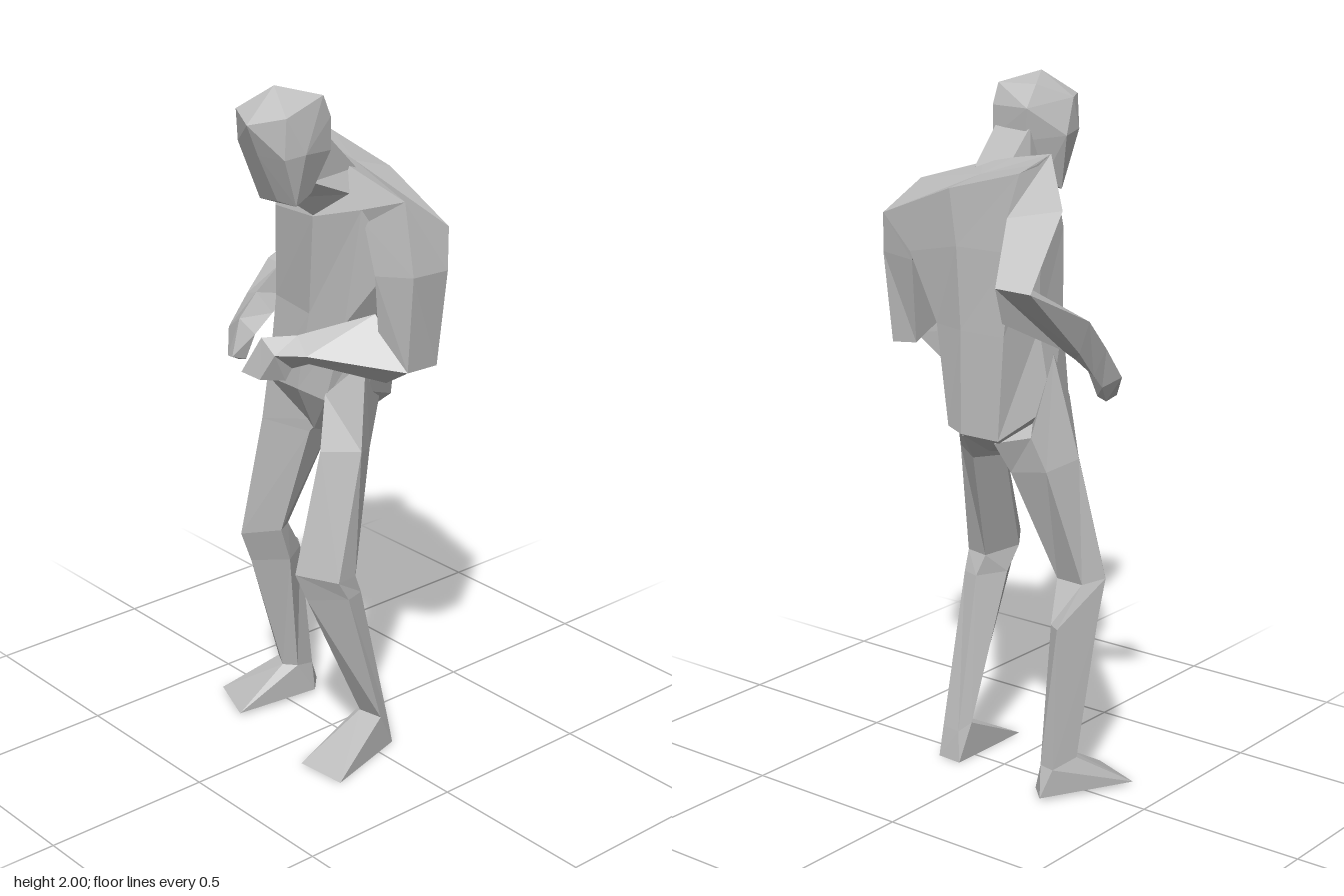
import * as THREE from 'three';
import { ConvexGeometry } from 'three/addons/geometries/ConvexGeometry.js';

const clay = new THREE.MeshStandardMaterial({ color: 0xbcbcbc, flatShading: true });
clay.name = 'clayGrey';

// Closed faceted solid through a list of rings of [x, y, z] points, wound outward.
function loft(rings) {
  const tris = [];
  const n = rings[0].length;
  for (let i = 0; i + 1 < rings.length; i++) {
    for (let j = 0; j < n; j++) {
      const k = (j + 1) % n;
      const a = rings[i][j], b = rings[i][k], c = rings[i + 1][k], d = rings[i + 1][j];
      tris.push([a, b, c], [a, c, d]);
    }
  }
  const middle = (r) => [0, 1, 2].map((c) => r.reduce((s, p) => s + p[c], 0) / n);
  const first = rings[0], last = rings[rings.length - 1];
  const m0 = middle(first), m1 = middle(last);
  for (let j = 0; j < n; j++) {
    const k = (j + 1) % n;
    tris.push([m0, first[k], first[j]], [m1, last[j], last[k]]);
  }
  // The sign of the enclosed volume tells whether the winding must be flipped.
  let volume = 0;
  const v = [0, 1, 2].map(() => new THREE.Vector3());
  for (const t of tris) {
    t.forEach((p, i) => v[i].set(...p));
    volume += v[0].dot(v[1].clone().cross(v[2]));
  }
  if (volume < 0) tris.forEach((t) => t.reverse());
  const g = new THREE.BufferGeometry();
  g.setAttribute('position', new THREE.Float32BufferAttribute(tris.flat(2), 3));
  g.computeVertexNormals();
  return g;
}

export function createModel() {
  const model = new THREE.Group();
  model.name = 'stoopedFigure';
  const add = (name, geometry) => {
    const mesh = new THREE.Mesh(geometry, clay);
    mesh.name = name;
    model.add(mesh);
  };

  // Torso: crotch, hips, waist, chest, shoulders; front right round to right side
  add('torso', loft([
    [[-0.06, 0.98, 0.04], [-0.02, 0.965, 0.05], [0.02, 0.97, 0.04], [0.03, 0.97, 0],
      [0.03, 0.99, -0.08], [-0.02, 0.98, -0.09], [-0.08, 0.99, -0.08], [-0.07, 0.98, 0]],
    [[-0.145, 1.1, 0.11], [-0.02, 1.1, 0.11], [0.1, 1.1, 0.11], [0.155, 1.12, 0.01],
      [0.08, 1.05, -0.15], [0.02, 1.04, -0.168], [-0.11, 1.04, -0.168], [-0.18, 1.12, -0.02]],
    [[-0.14, 1.34, 0.085], [0.02, 1.33, 0.1], [0.15, 1.33, 0.085], [0.175, 1.33, 0],
      [0.14, 1.33, -0.125], [0.03, 1.33, -0.155], [-0.12, 1.33, -0.155], [-0.145, 1.34, -0.03]],
    [[-0.14, 1.6, 0.085], [0.06, 1.62, 0.12], [0.2, 1.66, 0.07], [0.26, 1.52, 0],
      [0.24, 1.52, -0.12], [0.05, 1.56, -0.148], [-0.14, 1.56, -0.14], [-0.15, 1.58, -0.03]],
    [[-0.145, 1.81, 0.02], [0, 1.785, 0.035], [0.115, 1.76, 0.045], [0.32, 1.7, 0.025],
      [0.35, 1.615, -0.105], [0.08, 1.715, -0.14], [-0.15, 1.775, -0.125], [-0.15, 1.79, -0.05]],
  ]));

  // Neck leaning forward
  add('neck', loft([
    [[0.01, 1.75, 0.02], [0.12, 1.75, 0.02], [0.15, 1.69, 0.06], [0.06, 1.62, 0.115], [-0.02, 1.68, 0.09]],
    [[0.01, 1.86, 0.13], [0.13, 1.86, 0.13], [0.125, 1.74, 0.18], [0.06, 1.69, 0.215], [0, 1.72, 0.18]],
  ]));

  // Head: crown, brow, temples, nape and jaw as one faceted hull
  add('head', new ConvexGeometry([
    [0.07, 2, 0.257], [0.025, 1.97, 0.173], [0.14, 1.97, 0.15],
    [-0.01, 1.935, 0.32], [0.057, 1.905, 0.338], [0.147, 1.93, 0.28], [-0.033, 1.93, 0.27],
    [-0.055, 1.83, 0.21], [0.165, 1.83, 0.23], [-0.035, 1.84, 0.295], [0.06, 1.82, 0.305], [0.145, 1.82, 0.285],
    [0.01, 1.91, 0.112], [0.14, 1.91, 0.125], [0.02, 1.82, 0.118], [0.14, 1.82, 0.125],
    [-0.02, 1.675, 0.235], [0.07, 1.69, 0.25], [0.13, 1.685, 0.235],
    [0, 1.71, 0.18], [0.125, 1.71, 0.18],
  ].map((p) => new THREE.Vector3(...p))));

  // Left arm hangs down, forearm folded across the belly
  add('leftUpperArm', loft([
    [[0.2, 1.62, 0.06], [0.32, 1.7, 0.025], [0.35, 1.615, -0.105], [0.2, 1.6, -0.12]],
    [[0.255, 1.49, 0.07], [0.378, 1.51, 0.045], [0.365, 1.5, -0.09], [0.25, 1.49, -0.1]],
    [[0.26, 1.31, 0.06], [0.36, 1.24, 0.045], [0.355, 1.235, -0.065], [0.28, 1.24, -0.05]],
  ]));
  add('leftForearm', loft([
    [[0.235, 1.375, 0.05], [0.36, 1.24, 0.045], [0.27, 1.185, 0.04], [0.19, 1.24, 0.03]],
    [[0.09, 1.31, 0.2], [0.15, 1.27, 0.22], [0.125, 1.235, 0.19], [0.08, 1.25, 0.17]],
  ]));
  add('leftHand', loft([
    [[0.09, 1.31, 0.2], [0.15, 1.27, 0.22], [0.125, 1.235, 0.19], [0.08, 1.25, 0.17]],
    [[0.04, 1.31, 0.285], [0.09, 1.27, 0.28], [0.09, 1.22, 0.22], [0.03, 1.25, 0.22]],
    [[-0.01, 1.205, 0.315], [0.05, 1.195, 0.3], [0.08, 1.185, 0.235], [0, 1.2, 0.25]],
  ]));

  // Right arm swings back to the elbow, forearm reaching forward
  add('rightUpperArm', loft([
    [[-0.145, 1.81, 0.02], [-0.15, 1.775, -0.125], [-0.13, 1.56, -0.12], [-0.135, 1.6, 0.05]],
    [[-0.26, 1.68, -0.08], [-0.175, 1.67, -0.21], [-0.16, 1.55, -0.17], [-0.19, 1.57, -0.05]],
    [[-0.3, 1.49, -0.27], [-0.235, 1.51, -0.335], [-0.2, 1.47, -0.28], [-0.225, 1.5, -0.2]],
  ]));
  add('rightForearm', loft([
    [[-0.3, 1.49, -0.27], [-0.235, 1.51, -0.335], [-0.23, 1.41, -0.3], [-0.21, 1.5, -0.2]],
    [[-0.315, 1.38, -0.03], [-0.29, 1.29, -0.04], [-0.235, 1.29, -0.04], [-0.25, 1.38, -0.02]],
    [[-0.315, 1.29, 0.05], [-0.28, 1.21, 0.04], [-0.225, 1.25, 0.03], [-0.26, 1.31, 0.06]],
  ]));
  add('rightHand', loft([
    [[-0.315, 1.29, 0.05], [-0.28, 1.21, 0.04], [-0.225, 1.25, 0.03], [-0.26, 1.31, 0.06]],
    [[-0.325, 1.2, 0.11], [-0.28, 1.17, 0.08], [-0.205, 1.21, 0.11], [-0.25, 1.25, 0.13]],
    [[-0.28, 1.135, 0.15], [-0.265, 1.12, 0.12], [-0.235, 1.13, 0.12], [-0.25, 1.14, 0.158]],
  ]));

  // Legs: ring order is front, outer, back outer, back inner, inner
  const legs = {
    left: {
      hip: [[0.1, 1.12, 0.112], [0.175, 1.22, 0.03], [0.09, 1.07, -0.1], [0.03, 1.03, -0.15], [0.01, 0.965, 0]],
      thigh: [[0.13, 0.97, 0.155], [0.205, 0.97, 0.07], [0.16, 0.95, 0], [0.065, 0.94, -0.06], [0.035, 0.93, 0.05]],
      knee: [[0.14, 0.63, 0.255], [0.215, 0.6, 0.16], [0.205, 0.6, 0.09], [0.13, 0.6, 0.075], [0.095, 0.61, 0.19]],
      calf: [[0.143, 0.54, 0.215], [0.217, 0.54, 0.125], [0.2, 0.54, 0.065], [0.145, 0.54, 0.05], [0.1, 0.54, 0.14]],
      ankle: [[0.13, 0.11, 0.005], [0.205, 0.11, -0.01], [0.19, 0.09, -0.05], [0.125, 0.09, -0.06], [0.107, 0.11, -0.02]],
      sole: [[0.11, 0, 0.212], [0.265, 0, 0.197], [0.19, 0, -0.07], [0.11, 0, -0.075]],
    },
    right: {
      hip: [[-0.145, 1.12, 0.112], [-0.165, 1.26, 0.01], [-0.18, 1.05, -0.11], [-0.09, 1.03, -0.16], [-0.05, 0.97, 0]],
      thigh: [[-0.165, 0.97, 0.12], [-0.24, 0.97, 0.03], [-0.21, 0.95, -0.08], [-0.11, 0.94, -0.11], [-0.075, 0.93, 0.02]],
      knee: [[-0.22, 0.6, 0.16], [-0.3, 0.62, 0.08], [-0.265, 0.61, 0.015], [-0.175, 0.61, 0.02], [-0.145, 0.61, 0.07]],
      calf: [[-0.225, 0.5, 0.12], [-0.295, 0.5, 0.05], [-0.25, 0.5, -0.08], [-0.21, 0.5, -0.055], [-0.155, 0.5, 0.03]],
      ankle: [[-0.23, 0.11, 0], [-0.285, 0.11, -0.03], [-0.26, 0.09, -0.11], [-0.21, 0.09, -0.1], [-0.195, 0.11, -0.03]],
      sole: [[-0.218, 0.01, 0.177], [-0.38, 0.01, 0.115], [-0.24, 0.01, -0.143], [-0.185, 0.01, -0.09]],
    },
  };
  for (const [side, leg] of Object.entries(legs)) {
    add(side + 'Thigh', loft([leg.hip, leg.thigh, leg.knee]));
    add(side + 'Shin', loft([leg.knee, leg.calf, leg.ankle]));
    // Wedge foot from the ankle down to the sole
    add(side + 'Foot', new ConvexGeometry([...leg.ankle, ...leg.sole].map((p) => new THREE.Vector3(...p))));
  }
  return model;
}
